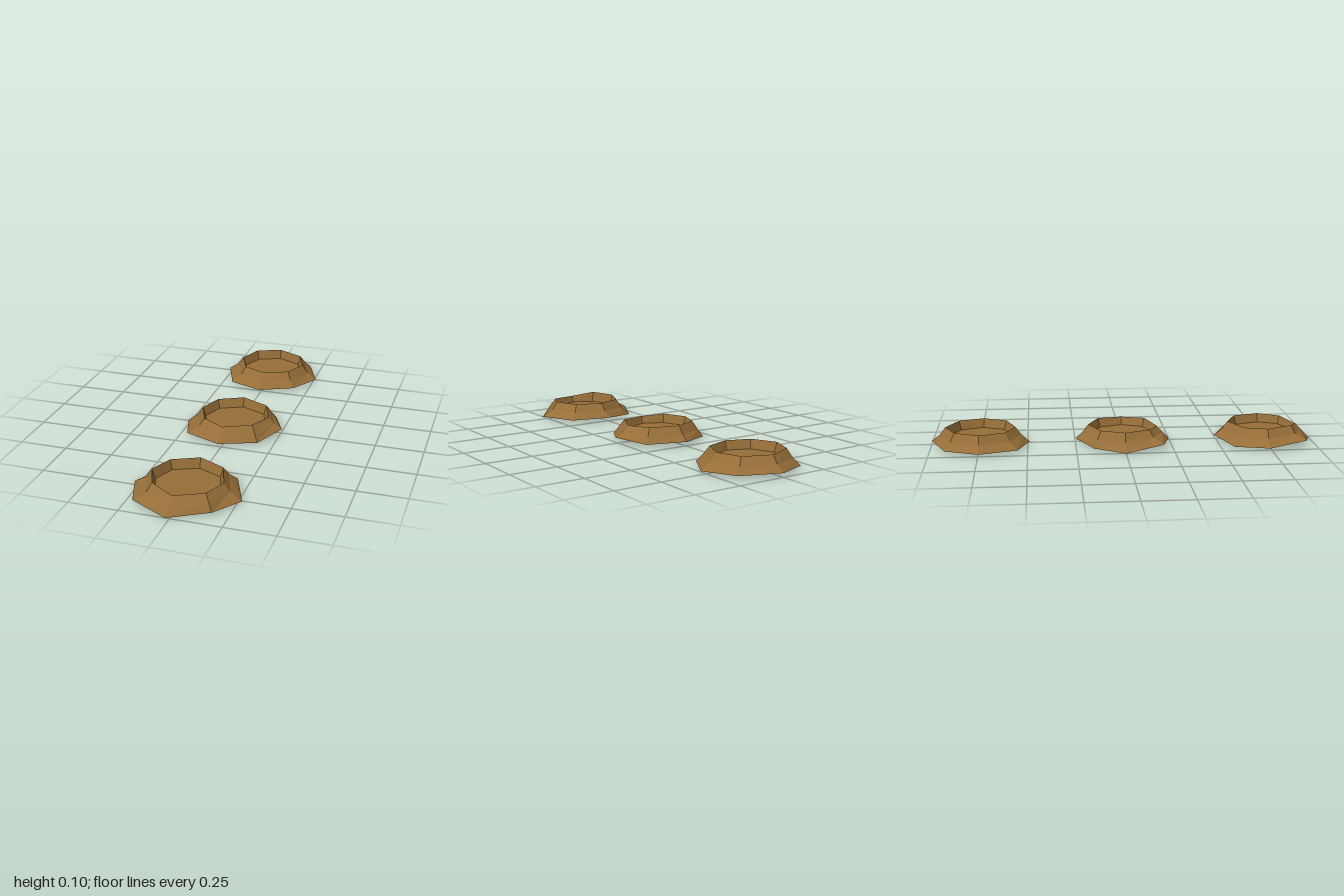
import * as THREE from 'three';

// Each mound: eight outer corners (x, z) relative to its centre, clockwise from the back,
// with the heights of the outer edge and of the rim, and the size of the shoulder.
const MOUNDS = [
  {
    name: 'backMound', z: -0.745,
    corners: [[0, -0.255], [0.19, -0.165], [0.265, 0.015], [0.17, 0.18], [-0.01, 0.255], [-0.19, 0.195], [-0.265, 0], [-0.18, -0.175]],
    edge: [0.02, 0.015, 0.01, 0.012, 0.008, 0.012, 0.015, 0.012],
    rim: [0.092, 0.09, 0.09, 0.09, 0.088, 0.09, 0.092, 0.094],
  },
  {
    name: 'middleMound', z: 0,
    corners: [[-0.01, -0.25], [0.18, -0.16], [0.257, 0.01], [0.17, 0.17], [-0.02, 0.245], [-0.2, 0.2], [-0.265, 0], [-0.18, -0.16]],
    edge: [0.02, 0.012, 0.027, 0.01, 0.012, 0.028, 0.003, 0.01],
    rim: [0.093, 0.09, 0.084, 0.088, 0.08, 0.09, 0.09, 0.092],
  },
  {
    name: 'frontMound', z: 0.745,
    corners: [[0, -0.255], [0.19, -0.175], [0.272, 0.025], [0.17, 0.165], [-0.02, 0.255], [-0.2, 0.2], [-0.272, -0.005], [-0.19, -0.175]],
    edge: [0.02, 0.012, 0.01, 0.01, 0, 0.033, 0.015, 0.005],
    rim: [0.094, 0.09, 0.088, 0.085, 0.077, 0.098, 0.095, 0.092],
  },
];

// Faceted surface through rings of equal length, ordered along the profile
function loft(rings) {
  const pos = [];
  const n = rings[0].length;
  const tri = (...pts) => pts.forEach((p) => pos.push(p.x, p.y, p.z));
  for (let r = 0; r < rings.length - 1; r++) {
    for (let k = 0; k < n; k++) {
      const j = (k + 1) % n;
      const a = rings[r][k], b = rings[r][j], c = rings[r + 1][j], d = rings[r + 1][k];
      if (!a.equals(b)) tri(b, a, d);
      if (!c.equals(d)) tri(b, d, c);
    }
  }
  const g = new THREE.BufferGeometry();
  g.setAttribute('position', new THREE.Float32BufferAttribute(pos, 3));
  g.computeVertexNormals();
  return g;
}

export function createModel() {
  const model = new THREE.Group();
  model.name = 'mounds';
  const earth = new THREE.MeshStandardMaterial({ color: 0x966e38, flatShading: true });

  for (const { name, z, corners, edge, rim } of MOUNDS) {
    // ring of the outline scaled towards a circle of radius r
    const ring = (r, height) => corners.map(([x, cz], k) => {
      const s = r / Math.hypot(x, cz);
      return new THREE.Vector3(x * s, height(k), cz * s);
    });
    const centre = (y) => corners.map(() => new THREE.Vector3(0, y, 0));

    // underside, sloping skirt, shoulder, raised rim
    const outer = corners.map(([x, cz], k) => new THREE.Vector3(x, edge[k], cz));
    const shoulder = ring(0.213, (k) => 0.047 + 0.4 * (edge[k] - 0.01));
    const top = ring(0.182, (k) => rim[k]);
    const floor = ring(0.166, () => 0.043);

    const body = new THREE.Mesh(loft([centre(0.01), outer, shoulder, top, floor]), earth);
    body.name = 'rim';
    // sunken floor
    const pit = new THREE.Mesh(loft([floor, centre(0.043)]), earth);
    pit.name = 'floor';

    const mound = new THREE.Group();
    mound.name = name;
    mound.position.z = z;
    mound.add(body, pit);
    model.add(mound);
  }
  return model;
}
